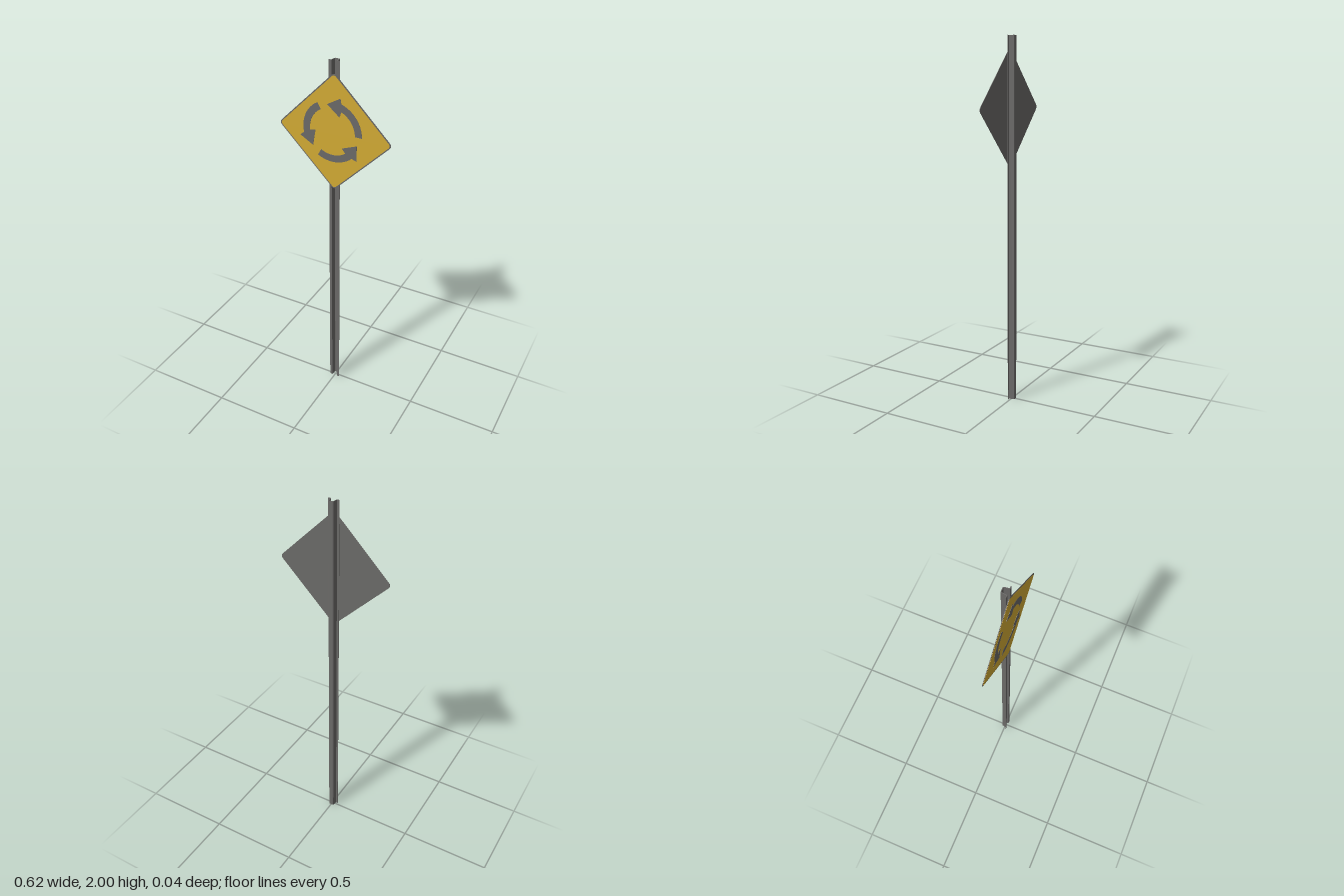
import * as THREE from 'three';

const SIGN_Y = 1.625;

function roundedSquare(half, r) {
  const s = new THREE.Shape(), c = half - r;
  s.absarc(c, c, r, 0, Math.PI / 2);
  s.absarc(-c, c, r, Math.PI / 2, Math.PI);
  s.absarc(-c, -c, r, Math.PI, Math.PI * 1.5);
  s.absarc(c, -c, r, Math.PI * 1.5, Math.PI * 2);
  s.closePath();
  return s;
}

// Flat plate facing +z between two depths
function plate(shape, z0, z1) {
  const g = new THREE.ExtrudeGeometry(shape, { depth: z1 - z0, bevelEnabled: false, curveSegments: 10 });
  return g.translate(0, 0, z0);
}

// Curved arrow: a ring segment ending in a triangular head
function arrowShape() {
  const pts = [];
  const polar = (deg, r) => {
    const a = THREE.MathUtils.degToRad(deg);
    pts.push(new THREE.Vector2(Math.cos(a) * r, Math.sin(a) * r));
  };
  for (let i = 0; i <= 12; i++) polar(i * 6, 0.164);
  polar(76, 0.19);
  polar(101, 0.145);
  polar(65, 0.095);
  for (let i = 11; i >= 0; i--) polar(i * 6, 0.126);
  return new THREE.Shape(pts);
}

export function createModel() {
  const group = new THREE.Group();
  const steel = new THREE.MeshStandardMaterial({ name: 'grey steel', color: 0x6b6a68 });
  const yellow = new THREE.MeshStandardMaterial({ name: 'sign yellow', color: 0xd2aa34 });
  const add = (name, geometry, material) => {
    const mesh = new THREE.Mesh(geometry, material);
    mesh.name = name;
    group.add(mesh);
    return mesh;
  };

  // Channel post, open to the front, with a flange on each side (x, -z)
  const half = [
    [0.011, 0.0185], [0.0142, 0.0165], [0.0185, -0.0105], [0.03, -0.0105],
    [0.03, -0.0135], [0.0155, -0.0135], [0.0115, 0.0145], [0.0105, 0.0152],
  ];
  const profile = [...half, ...half.map(([x, z]) => [-x, z]).reverse()];
  const postShape = new THREE.Shape(profile.map(([x, z]) => new THREE.Vector2(x, z)));
  const post = new THREE.ExtrudeGeometry(postShape, { depth: 2, bevelEnabled: false });
  add('post', post.rotateX(-Math.PI / 2), steel);

  // Diamond panel with a slim metal rim around the painted face
  const panel = add('signPanel', plate(roundedSquare(0.2235, 0.02), 0.0137, 0.0162), steel);
  const face = add('signFace', plate(roundedSquare(0.2175, 0.016), 0.0162, 0.0172), yellow);
  for (const m of [panel, face]) {
    m.position.y = SIGN_Y;
    m.rotation.z = Math.PI / 4;
  }

  // Three arrows chasing each other around a circle
  const arrow = plate(arrowShape(), 0.0172, 0.0182);
  for (let i = 0; i < 3; i++) {
    const m = add('arrow' + (i + 1), arrow, steel);
    m.position.set(-0.01, SIGN_Y + 0.008, 0);
    m.rotation.z = i * Math.PI * 2 / 3;
  }
  return group;
}
